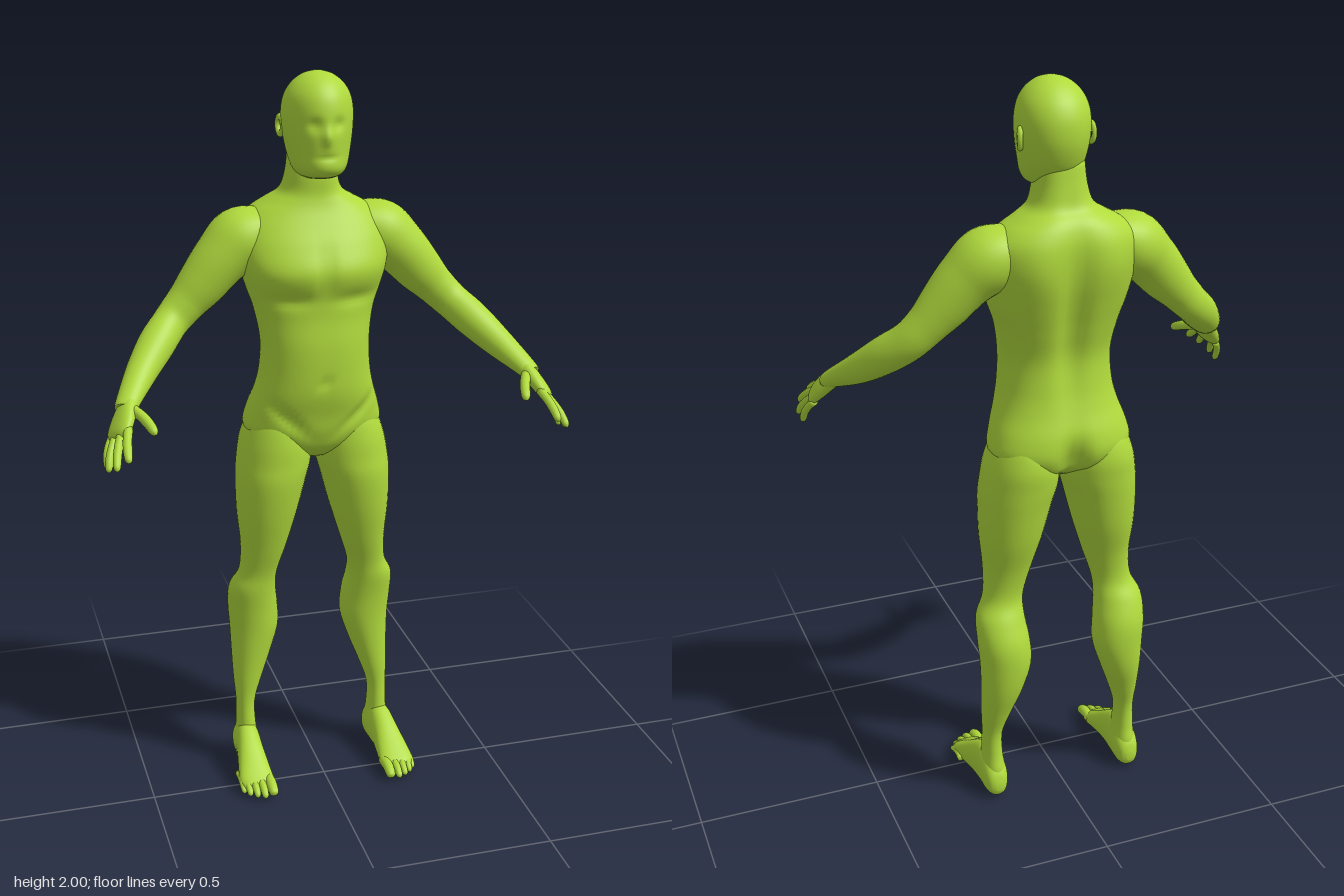
import * as THREE from 'three';

const skin = new THREE.MeshStandardMaterial({ color: 0xb0da3c });
skin.name = 'lime skin';

const V = (x, y, z) => new THREE.Vector3(x, y, z);
const bump = (d, w) => Math.exp(-(d * d) / (w * w));
const power = (v, n) => Math.sign(v) * Math.pow(Math.abs(v), 2 / n);

// Smooth loft through sections [x, y, z, halfWidth, halfDepth].
// ref is the width direction; axis fixes the ring direction, otherwise rings follow the path.
function loft(sections, { ref, axis, n = 2, sides = 32, steps = 5, shape }) {
  const path = new THREE.CatmullRomCurve3(sections.map(s => V(s[0], s[1], s[2])), false, 'catmullrom', 0.5);
  const size = new THREE.CatmullRomCurve3(sections.map(s => V(s[3], s[4], 0)), false, 'catmullrom', 0.5);
  const rows = (sections.length - 1) * steps;
  const pos = [], index = [];
  const add = p => { if (shape) shape(p); pos.push(p.x, p.y, p.z); };
  for (let i = 0; i <= rows; i++) {
    const c = path.getPoint(i / rows), r = size.getPoint(i / rows);
    const t = axis ? axis.clone() : path.getTangent(i / rows);
    const u = ref.clone().addScaledVector(t, -ref.dot(t)).normalize();
    const v = t.clone().cross(u);
    for (let j = 0; j < sides; j++) {
      const a = j / sides * Math.PI * 2;
      add(c.clone().addScaledVector(u, r.x * power(Math.cos(a), n)).addScaledVector(v, r.y * power(Math.sin(a), n)));
    }
  }
  add(path.getPoint(0));
  add(path.getPoint(1));
  const start = (rows + 1) * sides, end = start + 1;
  for (let j = 0; j < sides; j++) {
    const k = (j + 1) % sides, top = rows * sides;
    for (let i = 0; i < rows; i++) {
      const a = i * sides + j, b = i * sides + k;
      index.push(a, b, b + sides, a, b + sides, a + sides);
    }
    index.push(start, k, j, end, top + j, top + k);
  }
  const g = new THREE.BufferGeometry();
  g.setAttribute('position', new THREE.Float32BufferAttribute(pos, 3));
  g.setIndex(index);
  g.computeVertexNormals();
  return g;
}

// Upright loft from rows [y, xMin, xMax, zFront, zBack]
const upright = (rows, options) => loft(
  rows.map(([y, x0, x1, f, b]) => [(x0 + x1) / 2, y, (f + b) / 2, (x1 - x0) / 2, (f - b) / 2]),
  { ref: V(1, 0, 0), axis: V(0, 1, 0), ...options });

// Tapered round digit with a rounded tip
function digit(from, mid, to, r, ref) {
  const curve = new THREE.QuadraticBezierCurve3(from, mid, to);
  const profile = [[0, 1], [0.3, 0.95], [0.6, 0.95], [0.85, 0.85], [0.95, 0.6], [1, 0.08]];
  return loft(profile.map(([t, k]) => [...curve.getPoint(t).toArray(), r * k, r * k]), { ref, sides: 12, steps: 3 });
}

function mirrored(g) {
  const m = g.clone().scale(-1, 1, 1);
  const a = m.index.array;
  for (let i = 0; i < a.length; i += 3) [a[i], a[i + 1]] = [a[i + 1], a[i]];
  m.computeVertexNormals();
  return m;
}

export function createModel() {
  const model = new THREE.Group();
  model.name = 'figure';
  const addPart = (name, g) => {
    const mesh = new THREE.Mesh(g, skin);
    mesh.name = name;
    model.add(mesh);
  };
  const addPair = (name, g) => {
    addPart('left' + name, g);
    addPart('right' + name, mirrored(g));
  };

  // Torso and neck, with spine, buttock and chest modelling
  const torso = [
    [0.965, 0.05, -0.07, -0.17], [0.985, 0.1, -0.045, -0.21], [1.01, 0.155, -0.025, -0.24],
    [1.05, 0.19, -0.01, -0.255], [1.1, 0.183, 0, -0.25], [1.16, 0.163, 0.015, -0.23],
    [1.22, 0.15, 0.02, -0.217], [1.3, 0.147, 0.02, -0.212], [1.38, 0.16, 0.012, -0.23],
    [1.44, 0.18, 0.02, -0.245], [1.5, 0.196, 0.032, -0.257], [1.56, 0.203, 0.005, -0.262],
    [1.61, 0.192, -0.025, -0.26], [1.645, 0.16, -0.045, -0.25], [1.67, 0.118, -0.055, -0.235],
    [1.695, 0.082, -0.06, -0.212], [1.74, 0.067, -0.06, -0.2], [1.8, 0.06, -0.07, -0.19]
  ].map(([y, w, f, b]) => [y, -w, w, f, b]);
  addPart('torso', upright(torso, {
    n: 2.35, sides: 72,
    shape: p => {
      const back = THREE.MathUtils.smoothstep(-p.z, 0.12, 0.2), front = THREE.MathUtils.smoothstep(p.z, -0.08, -0.02);
      const groove = 0.026 * bump(p.x, 0.035) * (bump(p.y - 1.42, 0.2) + 1.3 * bump(p.y - 1.03, 0.06));
      const blade = 0.01 * bump(Math.abs(p.x) - 0.1, 0.05) * bump(p.y - 1.55, 0.08);
      const sternum = 0.01 * bump(p.x, 0.02) * bump(p.y - 1.5, 0.06);
      const underChest = 0.012 * bump(p.y - 1.425, 0.02) * bump(Math.abs(p.x) - 0.09, 0.07);
      const navel = 0.008 * bump(p.x, 0.012) * bump(p.y - 1.2, 0.015);
      const groin = 0.012 * bump(p.y - 1.1 - (Math.abs(p.x) - 0.1) * 0.9, 0.018) * bump(Math.abs(p.x) - 0.1, 0.06);
      p.z += back * (groove - blade) - front * (sternum + underChest + navel + groin);
    }
  }));

  // Head, narrower towards the face, with brow, nose and mouth
  const head = [
    [1.735, 0.045, -0.035, -0.13], [1.745, 0.062, -0.012, -0.155], [1.765, 0.074, 0.002, -0.175],
    [1.8, 0.083, 0, -0.198], [1.85, 0.091, 0, -0.214], [1.9, 0.093, -0.004, -0.214],
    [1.94, 0.085, -0.015, -0.2], [1.97, 0.066, -0.037, -0.176], [1.99, 0.04, -0.064, -0.148],
    [1.998, 0.016, -0.088, -0.122], [2, 0.003, -0.103, -0.107]
  ].map(([y, w, f, b]) => [y, 0.012 - w, 0.012 + w, f, b]);
  addPart('head', upright(head, {
    n: 2.1, sides: 64, steps: 6,
    shape: p => {
      const front = THREE.MathUtils.smoothstep(p.z, -0.1, -0.01), x = p.x - 0.012;
      p.x -= x * 0.12 * front;
      const eyes = 0.01 * bump(Math.abs(x) - 0.035, 0.02) * bump(p.y - 1.875, 0.016);
      const nose = 0.013 * bump(x, 0.014) * bump(p.y - 1.845, 0.022);
      const mouth = 0.005 * bump(x, 0.03) * bump(p.y - 1.793, 0.007);
      p.z += front * (nose - eyes - mouth);
    }
  }));
  for (const s of [1, -1]) {
    const ear = new THREE.TorusGeometry(0.018, 0.008, 10, 24);
    ear.scale(0.75, 1.2, 0.9).rotateY(s * (Math.PI / 2 - 0.3)).translate(0.012 + s * 0.092, 1.86, -0.135);
    addPart(s > 0 ? 'leftEar' : 'rightEar', ear);
  }

  // Legs
  addPair('Leg', upright([
    [0.03, 0.18, 0.22, -0.13, -0.18], [0.08, 0.167, 0.23, -0.09, -0.192], [0.13, 0.172, 0.227, -0.098, -0.182],
    [0.2, 0.172, 0.226, -0.105, -0.18], [0.27, 0.15, 0.23, -0.103, -0.2], [0.35, 0.12, 0.232, -0.1, -0.225],
    [0.43, 0.096, 0.235, -0.096, -0.235], [0.5, 0.098, 0.24, -0.09, -0.232], [0.565, 0.106, 0.238, -0.08, -0.208],
    [0.62, 0.104, 0.213, -0.073, -0.182], [0.7, 0.08, 0.208, -0.05, -0.19], [0.8, 0.05, 0.216, -0.025, -0.218],
    [0.9, 0.024, 0.217, -0.01, -0.235], [0.96, 0.008, 0.212, -0.012, -0.243], [1.02, 0.01, 0.2, -0.016, -0.247],
    [1.08, 0.03, 0.175, -0.03, -0.23], [1.12, 0.06, 0.14, -0.06, -0.19]
  ], { n: 2.1, sides: 40 }));

  // Feet, rows [z, x, halfWidth, bottom, top]
  addPair('Foot', loft([
    [-0.202, 0.2, 0.01, 0.03, 0.055], [-0.192, 0.2, 0.026, 0.012, 0.085], [-0.165, 0.2, 0.035, 0.004, 0.115],
    [-0.11, 0.202, 0.036, 0.002, 0.135], [-0.06, 0.205, 0.039, 0.006, 0.115], [0, 0.208, 0.046, 0.006, 0.078],
    [0.035, 0.209, 0.049, 0.004, 0.056], [0.06, 0.205, 0.042, 0.008, 0.04], [0.068, 0.2, 0.03, 0.014, 0.032]
  ].map(([z, x, w, lo, hi]) => [x, (lo + hi) / 2, z, w, (hi - lo) / 2]),
  { ref: V(1, 0, 0), axis: V(0, 0, 1), n: 2.3 }));
  [[0.174, 0.106, 0.016], [0.199, 0.107, 0.0115], [0.219, 0.097, 0.011], [0.237, 0.083, 0.0105], [0.251, 0.064, 0.01]]
    .forEach(([x, z, r], i) => addPair('Toe' + (i + 1),
      digit(V(x, 0.03, z - 0.08), V(x, 0.04, z - 0.03), V(x, r + 0.001, z), r, V(1, 0, 0))));

  // Arms
  addPair('Arm', loft([
    [0.11, 1.605, -0.14, 0.05, 0.07], [0.185, 1.572, -0.137, 0.083, 0.088], [0.245, 1.522, -0.127, 0.074, 0.076],
    [0.3, 1.46, -0.12, 0.065, 0.062], [0.345, 1.412, -0.114, 0.054, 0.05], [0.387, 1.37, -0.1, 0.05, 0.046],
    [0.435, 1.325, -0.055, 0.049, 0.049], [0.485, 1.275, 0.005, 0.041, 0.042], [0.535, 1.225, 0.085, 0.026, 0.032],
    [0.545, 1.21, 0.105, 0.022, 0.03]
  ], { ref: V(0, 1, 0) }));

  // Hands: flat palm, four fingers and a thumb
  const across = V(0.5, -0.4, -0.65).normalize();
  addPair('Palm', loft([
    [0.528, 1.232, 0.075, 0.022, 0.02], [0.541, 1.213, 0.1, 0.03, 0.021], [0.557, 1.188, 0.127, 0.039, 0.02],
    [0.571, 1.165, 0.149, 0.04, 0.017], [0.577, 1.153, 0.159, 0.03, 0.01]
  ], { ref: across, n: 2.3, sides: 24 }));
  [
    [V(0.55, 1.18, 0.165), V(0.565, 1.155, 0.22), V(0.565, 1.125, 0.26)],
    [V(0.565, 1.168, 0.155), V(0.589, 1.14, 0.212), V(0.594, 1.102, 0.25)],
    [V(0.577, 1.157, 0.14), V(0.605, 1.125, 0.186), V(0.609, 1.085, 0.208)],
    [V(0.583, 1.15, 0.122), V(0.61, 1.12, 0.148), V(0.606, 1.078, 0.168)]
  ].forEach((f, i) => addPair('Finger' + (i + 1), digit(...f, 0.0125 - i * 0.0006, across)));
  addPair('Thumb', digit(V(0.537, 1.215, 0.1), V(0.502, 1.205, 0.16), V(0.49, 1.176, 0.216), 0.0145, across));

  return model;
}
